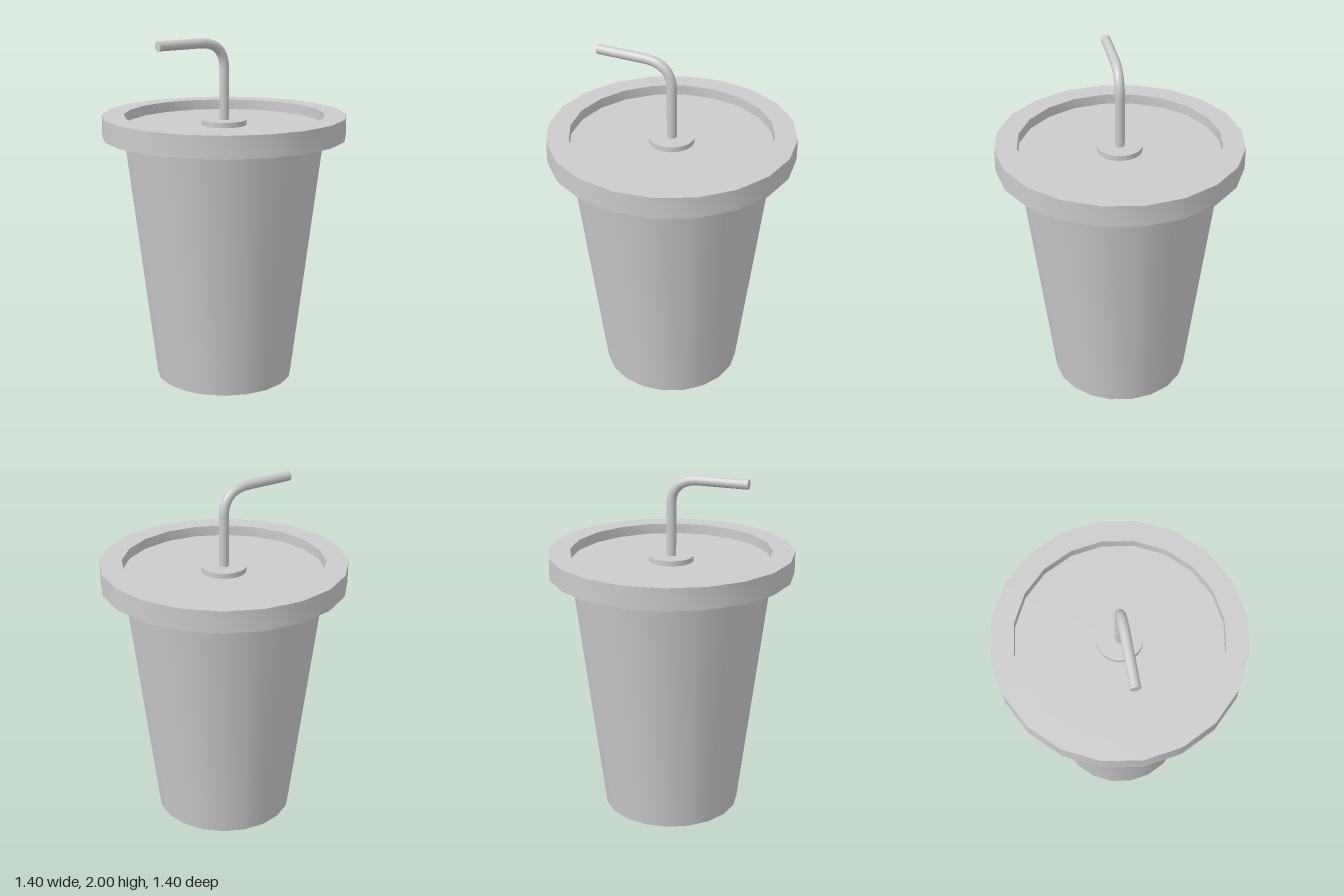
import * as THREE from 'three';
import { toCreasedNormals } from 'three/addons/utils/BufferGeometryUtils.js';

const SIDES = 20;
const material = new THREE.MeshStandardMaterial({ color: 0xcccccc });

// Turned part: smooth around the axis, sharp at profile corners
function turned(name, profile, sides) {
  const points = profile.map(([r, y]) => new THREE.Vector2(r, y));
  const geometry = toCreasedNormals(new THREE.LatheGeometry(points, sides), 0.6);
  const mesh = new THREE.Mesh(geometry, material);
  mesh.name = name;
  return mesh;
}

function createStraw() {
  const straw = new THREE.Group();
  straw.name = 'straw';
  const radius = 0.028, top = 2 - radius, tip = 0.45;
  const v = (y, z) => new THREE.Vector3(0, y, z);

  // Upright, bend, then a level mouthpiece toward the front
  const path = new THREE.CurvePath();
  path.add(new THREE.LineCurve3(v(1.5, 0), v(1.82, 0)));
  path.add(new THREE.QuadraticBezierCurve3(v(1.82, 0), v(top, 0), v(top, 0.17)));
  path.add(new THREE.LineCurve3(v(top, 0.17), v(top, tip)));
  const tube = new THREE.Mesh(new THREE.TubeGeometry(path, 48, radius, 16), material);
  tube.name = 'strawTube';

  // Closed tip
  const cap = new THREE.Mesh(new THREE.CircleGeometry(radius, 16), material);
  cap.name = 'strawTip';
  cap.position.set(0, top, tip);
  straw.add(tube, cap);
  return straw;
}

export function createModel() {
  const model = new THREE.Group();
  model.name = 'drinkCup';

  // Tapered cup with a recessed base
  model.add(turned('cup', [[0, 0.03], [0.36, 0.03], [0.36, 0], [0.4, 0], [0.575, 1.435]], SIDES));

  // Overhanging lid with a sunken top
  model.add(turned('lid', [
    [0.56, 1.435], [0.7, 1.435], [0.7, 1.56], [0.575, 1.56], [0.575, 1.5], [0, 1.5],
  ], SIDES));

  // Raised collar around the straw
  model.add(turned('strawCollar', [[0.127, 1.5], [0.127, 1.53], [0, 1.53]], 32));

  model.add(createStraw());
  return model;
}
